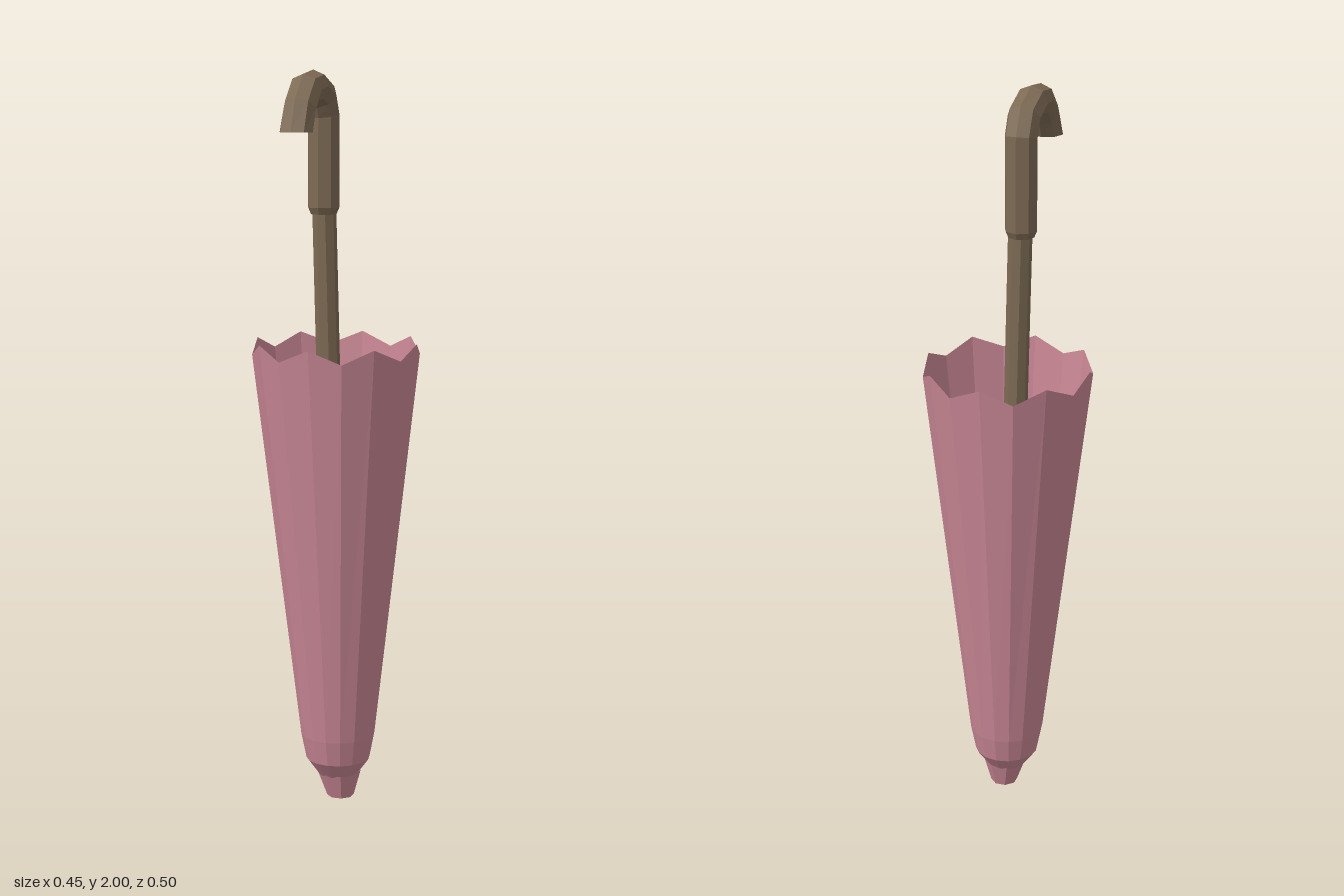
import * as THREE from 'three';

const V = (x, y, z) => new THREE.Vector3(x, y, z);

// Ring of points around a centre, spanned by two perpendicular directions
function ring(c, r, sides, e1 = V(1, 0, 0), e2 = V(0, 0, -1)) {
  return Array.from({ length: sides }, (_, i) => {
    const a = (i / sides) * Math.PI * 2;
    return c.clone().addScaledVector(e1, r * Math.cos(a)).addScaledVector(e2, r * Math.sin(a));
  });
}

// Faceted skin through a list of rings, with optional flat ends
function loft(name, rings, material, capStart = false, capEnd = false) {
  const pos = [];
  const tri = (...pts) => pts.forEach((p) => pos.push(p.x, p.y, p.z));
  const n = rings[0].length;
  for (let k = 0; k < rings.length - 1; k++) {
    const a = rings[k], b = rings[k + 1];
    for (let i = 0; i < n; i++) {
      const j = (i + 1) % n;
      tri(a[i], a[j], b[j]);
      tri(a[i], b[j], b[i]);
    }
  }
  const last = rings[rings.length - 1];
  for (let i = 1; i < n - 1; i++) {
    if (capStart) tri(rings[0][0], rings[0][i + 1], rings[0][i]);
    if (capEnd) tri(last[0], last[i], last[i + 1]);
  }
  const g = new THREE.BufferGeometry();
  g.setAttribute('position', new THREE.Float32BufferAttribute(pos, 3));
  g.computeVertexNormals();
  const mesh = new THREE.Mesh(g, material);
  mesh.name = name;
  return mesh;
}

export function createModel() {
  const pink = new THREE.MeshStandardMaterial({ color: 0xc98795, flatShading: true, side: THREE.DoubleSide });
  pink.name = 'pink cloth';
  const brown = new THREE.MeshStandardMaterial({ color: 0x7d6a54, flatShading: true, side: THREE.DoubleSide });
  brown.name = 'brown wood';

  const model = new THREE.Group();
  model.name = 'umbrella';

  // Folded canopy: open sixteen-sided cone with a zigzag rim
  const profile = [[0.065, 0.055], [0.11, 0.088], [0.18, 0.102], [1.262, 0.227]];
  const canopyRings = profile.map(([y, r]) => ring(V(0.004 - 0.004 * y, y, -0.034 + 0.003 * y), r, 16));
  canopyRings[3].forEach((p, i) => { p.y += i % 2 ? 0.018 : -0.018; });
  model.add(loft('canopy', canopyRings, pink));

  // Tip
  model.add(loft('tip', [
    ring(V(0.01, 0, -0.037), 0.037, 8),
    ring(V(0.007, 0.07, -0.035), 0.06, 8),
  ], pink, true, false));

  // Wooden cup inside the bottom of the canopy
  model.add(loft('innerCup', [
    ring(V(0.004, 0.072, -0.034), 0.056, 16),
    ring(V(0.004, 0.112, -0.034), 0.085, 16),
  ], brown, true));

  // Shaft, leaning slightly
  model.add(loft('shaft', [
    ring(V(0.006, 0.07, -0.032), 0.032, 8),
    ring(V(-0.012, 1.65, 0.006), 0.032, 8),
  ], brown, true, true));

  // Crook handle: path as [reach, height, radius], swung toward the front left
  const swing = THREE.MathUtils.degToRad(23);
  const u = V(Math.sin(swing), 0, Math.cos(swing));
  const w = V(-Math.cos(swing), 0, Math.sin(swing));
  const path = [
    [0, 1.622, 0.036], [0, 1.64, 0.044], [0, 1.885, 0.044], [0.024, 1.934, 0.044], [0.088, 1.957, 0.044],
    [0.142, 1.95, 0.044], [0.186, 1.905, 0.044], [0.215, 1.844, 0.045],
  ];
  const slope = (a, b) => Math.atan2(b[0] - a[0], b[1] - a[1]);
  const handleRings = path.map((p, i) => {
    let t = 0;
    if (i === path.length - 1) t = Math.PI; // level cut at the end
    else if (i > 0) t = (slope(path[i - 1], p) + slope(p, path[i + 1])) / 2;
    const outward = u.clone().multiplyScalar(-Math.cos(t));
    outward.y = Math.sin(t);
    const c = V(-0.013, p[1], 0.007).addScaledVector(u, p[0]);
    return ring(c, p[2], 8, outward, w);
  });
  model.add(loft('handle', handleRings, brown, true, true));

  return model;
}
